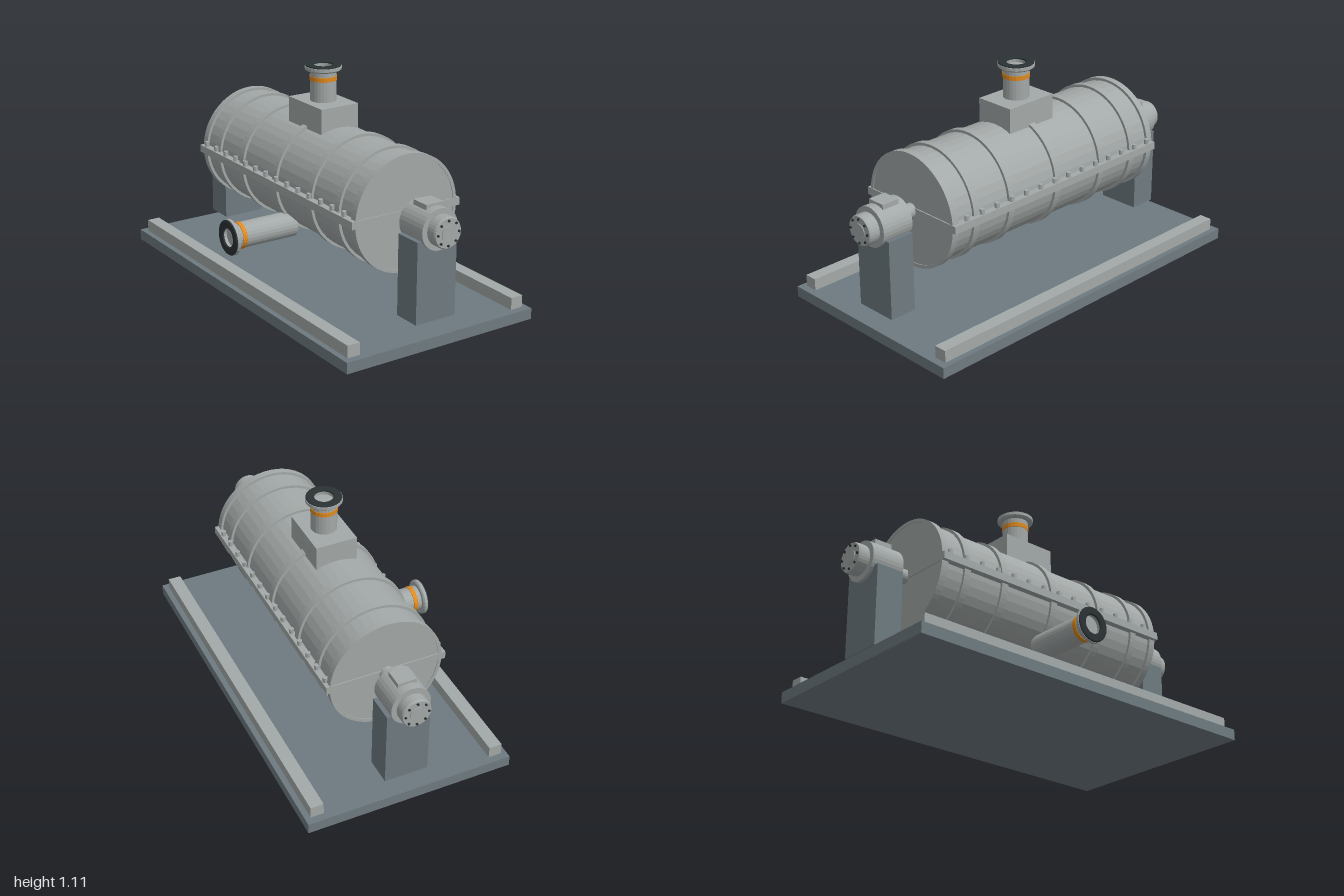
import * as THREE from 'three';

const paint = (name, color, flatShading = false) => {
  const m = new THREE.MeshStandardMaterial({ color, flatShading });
  m.name = name;
  return m;
};

export function createModel() {
  const grey = paint('machineGrey', 0xa3a9a8, true);
  const slate = paint('frameSlate', 0x6e7a80, true);
  const orange = paint('markingOrange', 0xe08a1e, true);
  const dark = paint('gasketDark', 0x2b3234, true);
  const AX = 0.0115, AY = 0.55; // drum axis
  const root = new THREE.Group();
  root.name = 'horizontalDrumUnit';

  const add = (parent, name, geo, mat, x = 0, y = 0, z = 0) => {
    const mesh = new THREE.Mesh(geo, mat);
    mesh.name = name;
    mesh.position.set(x, y, z);
    parent.add(mesh);
    return mesh;
  };
  // box given by its lower and upper corners
  const box = (parent, name, mat, [x0, y0, z0], [x1, y1, z1]) =>
    add(parent, name, new THREE.BoxGeometry(x1 - x0, y1 - y0, z1 - z0), mat,
      (x0 + x1) / 2, (y0 + y1) / 2, (z0 + z1) / 2);
  // cylinder along z between two depths
  const zCyl = (parent, name, mat, r, z0, z1, seg = 32, x = 0, y = 0) =>
    add(parent, name, new THREE.CylinderGeometry(r, r, z1 - z0, seg).rotateX(Math.PI / 2),
      mat, x, y, (z0 + z1) / 2);
  const lathe = (pts, seg) =>
    new THREE.LatheGeometry(pts.map(([r, y]) => new THREE.Vector2(r, y)), seg);

  // Skid plate and long side rails
  box(root, 'basePlate', slate, [AX - 0.528, 0, -0.977], [AX + 0.528, 0.055, 0.977]);
  for (const s of [-1, 1]) {
    const c = AX + s * 0.467;
    box(root, 'sideRail', grey, [c - 0.033, 0.055, -0.94], [c + 0.033, 0.115, 0.94]);
  }

  // Drum with reinforcing bands
  const drum = new THREE.Group();
  drum.name = 'drum';
  drum.position.set(AX, AY, 0);
  root.add(drum);
  zCyl(drum, 'drumShell', grey, 0.274, -0.684, 0.684, 40);
  const hoop = new THREE.Shape().absarc(0, 0, 0.287, 0, Math.PI * 2);
  hoop.holes.push(new THREE.Path().absarc(0, 0, 0.27, 0, Math.PI * 2, true));
  const hoopGeo = new THREE.ExtrudeGeometry(hoop, { depth: 0.036, bevelEnabled: false, curveSegments: 40 })
    .translate(0, 0, -0.018);
  for (const z of [-0.67, -0.536, -0.31, 0, 0.31, 0.536, 0.67])
    add(drum, 'drumBand', hoopGeo, grey, 0, 0, z);

  // Split-line flange with a row of bolts on each side
  box(drum, 'splitFlange', grey, [-0.306, -0.018, -0.69], [0.306, 0.02, 0.69]);
  const boltGeo = new THREE.CylinderGeometry(0.012, 0.012, 0.026, 10);
  for (const s of [-1, 1])
    for (let i = 0; i < 14; i++)
      add(drum, 'flangeBolt', boltGeo, grey, s * 0.29, 0.032, -0.645 + i * 0.096);

  // Shaft, bearing and pedestal at each end
  for (const s of [1, -1]) {
    const end = new THREE.Group();
    end.name = s > 0 ? 'frontBearing' : 'rearBearing';
    end.position.set(AX, AY, 0);
    end.rotation.y = s > 0 ? 0 : Math.PI;
    root.add(end);
    box(end, 'pedestal', slate, [-0.111, 0.104 - AY, 0.776], [0.111, 0.504 - AY, 0.918]);
    zCyl(end, 'shaft', grey, 0.036, 0.68, 0.78, 20);
    zCyl(end, 'bearingHousing', grey, 0.1, 0.765, 0.935, 32);
    box(end, 'housingPad', grey, [-0.048, 0.05, 0.8], [0.048, 0.112, 0.893]);
    const cap = lathe([[0, 0.93], [0.07, 0.93], [0.075, 0.94], [0.075, 0.985], [0.071, 0.994], [0, 0.994]], 32);
    add(end, 'endCap', cap.rotateX(Math.PI / 2), grey);
    zCyl(end, 'shaftEnd', grey, 0.037, 0.99, 0.998, 20);
    for (let i = 0; i < 8; i++) {
      const a = i * Math.PI / 4;
      zCyl(end, 'capBolt', dark, 0.006, 0.99, 1, 8, 0.059 * Math.cos(a), 0.059 * Math.sin(a));
    }
  }

  // Flanged pipe along +y, measured back from its open end at y = 0
  const pipe = (name, length, ringFrom, ringTo) => {
    const g = new THREE.Group();
    g.name = name;
    root.add(g);
    add(g, 'pipeWall', lathe([[0, -length], [0.064, -length], [0.064, -0.025]], 24), grey);
    add(g, 'colourRing', new THREE.CylinderGeometry(0.067, 0.067, ringFrom - ringTo, 24), orange,
      0, -(ringFrom + ringTo) / 2);
    add(g, 'pipeFlange', lathe([[0.062, -0.03], [0.082, -0.03], [0.09, -0.023], [0.09, -0.008],
      [0.085, -0.006], [0.048, -0.006], [0.048, -0.025], [0, -0.025]], 24), grey);
    add(g, 'gasket', lathe([[0.088, -0.009], [0.086, -0.002], [0.08, 0], [0.052, 0],
      [0.047, -0.003], [0.047, -0.009]], 24), dark);
    return g;
  };

  // Top inlet on its box
  box(root, 'inletBox', grey, [AX - 0.106, 0.76, -0.145], [AX + 0.106, 0.928, 0.145]);
  pipe('inletPipe', 0.2, 0.078, 0.056).position.set(AX, 1.108, 0);

  // Side outlet on the model's right
  const outlet = pipe('outletPipe', 0.364, 0.074, 0.052);
  outlet.rotation.z = Math.PI / 2;
  outlet.position.set(-0.54, 0.3265, 0);

  return root;
}
